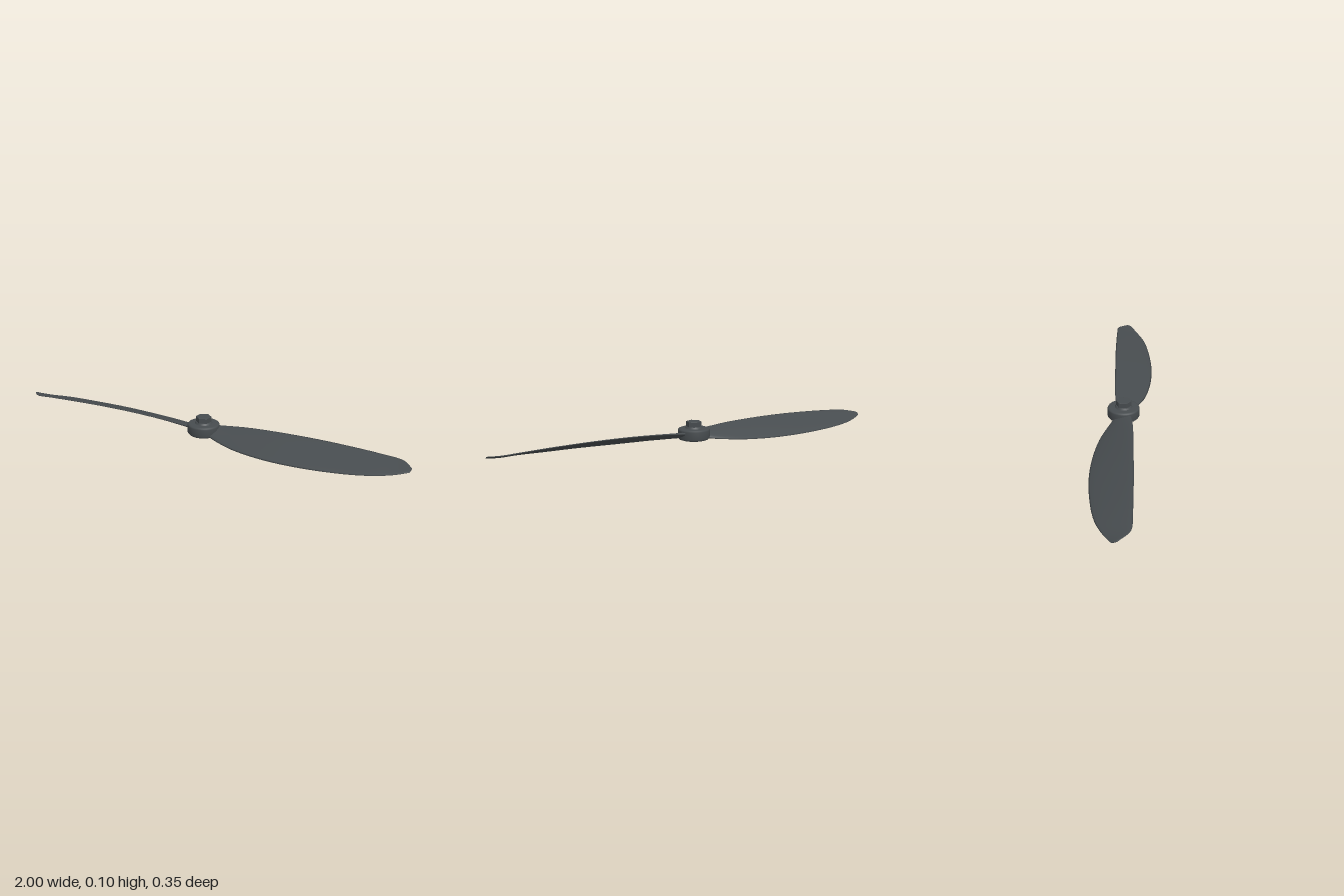
import * as THREE from 'three';

const material = new THREE.MeshStandardMaterial({ color: 0x474c4f });

// Knots along the blade: x, front edge z y, rear edge z y, half thickness
const stations = [
  [0.03, 0.030, 0.030, -0.040, 0.052, 0.013],
  [0.10, 0.053, 0.020, -0.056, 0.060, 0.010],
  [0.22, 0.078, 0.011, -0.078, 0.070, 0.007],
  [0.38, 0.083, 0.007, -0.102, 0.076, 0.006],
  [0.55, 0.067, 0.009, -0.128, 0.077, 0.005],
  [0.72, 0.030, 0.014, -0.151, 0.073, 0.005],
  [0.85, -0.012, 0.022, -0.167, 0.067, 0.004],
  [0.94, -0.062, 0.030, -0.173, 0.061, 0.004],
  [1.00, -0.105, 0.042, -0.132, 0.053, 0.003],
];

// Twisted blade lofted from thin lens-shaped sections
function bladeGeometry() {
  const curve = (f) => new THREE.CatmullRomCurve3(stations.map(f), false, 'catmullrom', 0.5);
  const front = curve((s) => new THREE.Vector3(s[0], s[2], s[1]));
  const rear = curve((s) => new THREE.Vector3(s[0], s[4], s[3]));
  const thick = curve((s) => new THREE.Vector3(s[0], s[5], 0));
  const rows = 32, sides = 16, positions = [], index = [];
  for (let i = 0; i <= rows; i++) {
    const t = i / rows;
    const a = front.getPoint(t), b = rear.getPoint(t), h = thick.getPoint(t).y;
    const mid = a.clone().add(b).multiplyScalar(0.5);
    const half = a.clone().sub(b).multiplyScalar(0.5);
    const up = new THREE.Vector3(0, half.z, -half.y).normalize();
    for (let k = 0; k < sides; k++) {
      const angle = (k / sides) * Math.PI * 2;
      const p = mid.clone().addScaledVector(half, Math.cos(angle))
        .addScaledVector(up, Math.sin(angle) * h);
      positions.push(Math.min(p.x, 1), p.y, p.z);
    }
  }
  for (let i = 0; i < rows; i++) {
    for (let k = 0; k < sides; k++) {
      const a = i * sides + k, b = i * sides + (k + 1) % sides;
      index.push(a, a + sides, b, b, a + sides, b + sides);
    }
  }
  // Close root and tip
  const last = rows * sides;
  for (let k = 1; k < sides - 1; k++) {
    index.push(0, k, k + 1, last, last + k + 1, last + k);
  }
  const geometry = new THREE.BufferGeometry();
  geometry.setAttribute('position', new THREE.Float32BufferAttribute(positions, 3));
  geometry.setIndex(index);
  geometry.computeVertexNormals();
  return geometry;
}

export function createModel() {
  const group = new THREE.Group();
  const add = (name, geometry) => {
    const mesh = new THREE.Mesh(geometry, material);
    mesh.name = name;
    group.add(mesh);
    return mesh;
  };

  // Two blades, half a turn apart
  const blade = bladeGeometry();
  add('leftBlade', blade);
  add('rightBlade', blade).rotation.y = Math.PI;

  // Round hub with softened rims
  const profile = [
    [0, 0.016], [0.062, 0.016], [0.071, 0.019], [0.077, 0.027],
    [0.077, 0.062], [0.074, 0.068], [0.066, 0.071], [0, 0.072],
  ].map(([r, y]) => new THREE.Vector2(r, y));
  add('hub', new THREE.LatheGeometry(profile, 40));

  // Collar and hexagonal nut on top
  const collar = new THREE.CylinderGeometry(0.037, 0.042, 0.008, 32);
  add('collar', collar).position.y = 0.075;
  const hex = new THREE.Shape();
  for (let i = 0; i < 6; i++) {
    const a = Math.PI / 2 + (i * Math.PI) / 3;
    hex[i ? 'lineTo' : 'moveTo'](0.035 * Math.cos(a), 0.035 * Math.sin(a));
  }
  hex.closePath();
  const nut = new THREE.ExtrudeGeometry(hex, {
    depth: 0.032, bevelSize: 0.002, bevelThickness: 0.002, bevelSegments: 2,
  });
  nut.rotateX(-Math.PI / 2);
  add('nut', nut).position.y = 0.07;

  return group;
}
